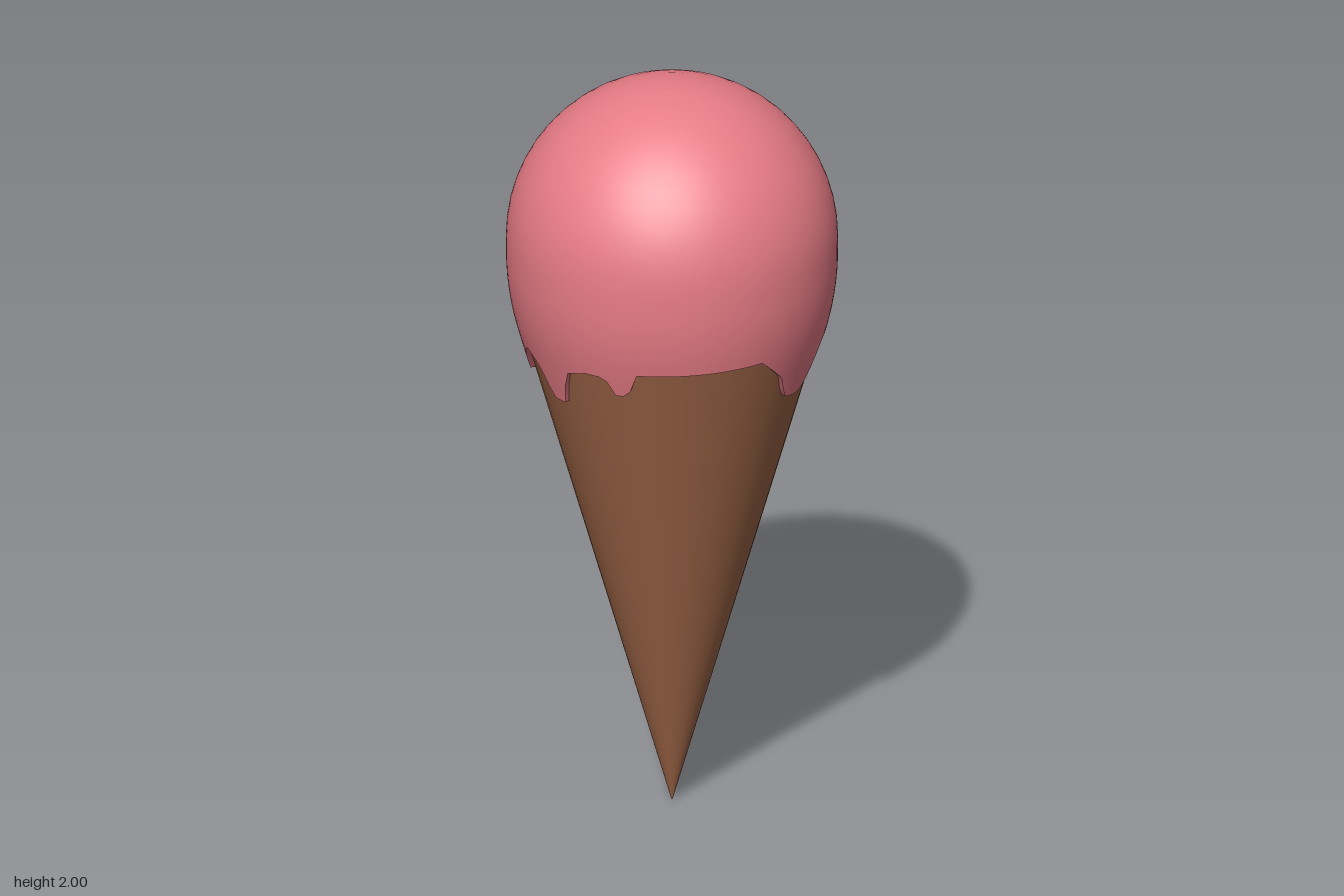
import * as THREE from 'three';
import { toCreasedNormals } from 'three/addons/utils/BufferGeometryUtils.js';

const SLOPE = 0.288;      // cone radius per unit of height
const CENTRE = 1.575;     // height of the scoop's equator
const RADIUS = 0.426;
const COLUMNS = 120, DOME_ROWS = 14, SKIRT_ROWS = 10;

// Melted hem: [degrees from the front towards +x, height]
const HEM = [
  [-180, 1.34], [-177, 1.30], [-171, 1.30], [-167, 1.34], [-162, 1.28], [-149, 1.27], [-143, 1.32],
  [-137, 1.31], [-132, 1.22], [-120, 1.21], [-114, 1.26], [-103, 1.32], [-94, 1.29], [-88, 1.21],
  [-81, 1.21], [-76, 1.31], [-66, 1.33], [-58, 1.33], [-54, 1.28], [-49, 1.28], [-45, 1.35],
  [3, 1.36], [15, 1.29], [20, 1.22], [28, 1.21], [34, 1.22], [40, 1.27], [46, 1.33], [54, 1.33],
  [59, 1.26], [74, 1.26], [80, 1.34], [87, 1.355], [113, 1.34], [116, 1.28], [120, 1.27],
  [125, 1.32], [155, 1.36], [172, 1.355], [180, 1.34],
];

function hemHeight(deg) {
  const k = Math.max(1, HEM.findIndex(([a]) => a >= deg));
  const [a0, y0] = HEM[k - 1], [a1, y1] = HEM[k];
  return THREE.MathUtils.mapLinear(deg, a0, a1, y0, y1);
}

// Below the equator the skin drops straight, then hugs the cone
function skirtRadius(y) {
  const hug = y * SLOPE + 0.014, k = 0.03;
  const h = THREE.MathUtils.clamp(0.5 + (hug - RADIUS) / (2 * k), 0, 1);
  return THREE.MathUtils.lerp(hug, RADIUS, h) - k * h * (1 - h);
}

function scoopGeometry() {
  const positions = [], index = [];
  const rows = DOME_ROWS + SKIRT_ROWS + 2;
  for (let i = 0; i < rows; i++) {
    for (let j = 0; j < COLUMNS; j++) {
      const deg = -180 + (360 * j) / COLUMNS, a = THREE.MathUtils.degToRad(deg);
      const hem = hemHeight(deg);
      let r, y;
      if (i <= DOME_ROWS) {                       // dome
        const p = (i / DOME_ROWS) * Math.PI / 2;
        r = RADIUS * Math.sin(p);
        y = CENTRE + 0.425 * Math.cos(p);
      } else if (i < rows - 1) {                  // skirt and drips
        y = THREE.MathUtils.lerp(CENTRE, hem, (i - DOME_ROWS) / SKIRT_ROWS);
        r = skirtRadius(y);
      } else {                                    // lip turned in to the cone
        y = hem + 0.004;
        r = y * SLOPE - 0.012;
      }
      positions.push(r * Math.sin(a), y, r * Math.cos(a));
      if (i === rows - 1) continue;
      const n = (j + 1) % COLUMNS, top = i * COLUMNS, low = top + COLUMNS;
      index.push(top + j, low + j, low + n);
      if (i > 0) index.push(top + j, low + n, top + n);
    }
  }
  const geometry = new THREE.BufferGeometry();
  geometry.setAttribute('position', new THREE.Float32BufferAttribute(positions, 3));
  geometry.setIndex(index);
  return toCreasedNormals(geometry, 0.9);
}

export function createModel() {
  const model = new THREE.Group();
  model.name = 'iceCreamCone';

  // Wafer cone, closed under the scoop
  const height = 1.38;
  const cone = new THREE.Mesh(
    new THREE.CylinderGeometry(height * SLOPE, 0.002, height, 64, 4),
    new THREE.MeshStandardMaterial({ color: 0x9c6446 }),
  );
  cone.name = 'waferCone';
  cone.position.y = height / 2;

  // Melting scoop
  const scoop = new THREE.Mesh(scoopGeometry(), new THREE.MeshStandardMaterial({ color: 0xe87c86 }));
  scoop.name = 'iceCreamScoop';

  model.add(cone, scoop);
  return model;
}
